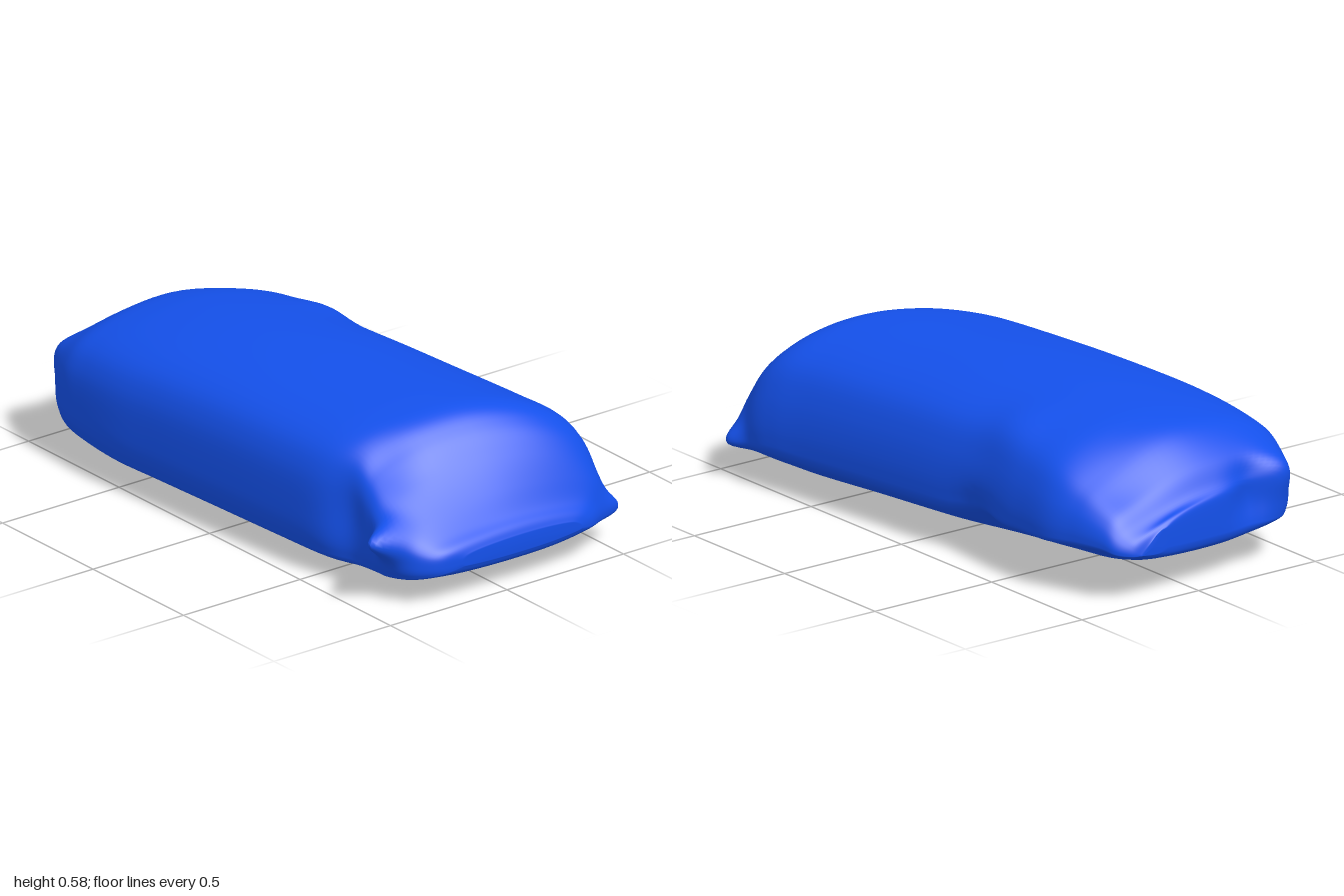
import * as THREE from 'three';

// Stations along the length: x, back z, front z, bottom y, top y
const STATIONS = [
  [-1, -0.24, -0.14, 0.17, 0.23], [-0.985, -0.28, 0.02, 0.15, 0.28], [-0.95, -0.32, 0.36, 0.13, 0.335],
  [-0.9, -0.345, 0.46, 0.11, 0.42], [-0.8, -0.385, 0.515, 0.07, 0.505], [-0.68, -0.42, 0.53, 0.045, 0.54],
  [-0.5, -0.415, 0.535, 0.03, 0.56], [-0.3, -0.41, 0.52, 0.024, 0.573], [0, -0.435, 0.495, 0.016, 0.58],
  [0.3, -0.465, 0.47, 0.009, 0.577], [0.55, -0.495, 0.445, 0.003, 0.572], [0.68, -0.515, 0.415, 0.01, 0.558],
  [0.76, -0.523, 0.405, 0.022, 0.505], [0.83, -0.515, 0.4, 0.038, 0.42], [0.9, -0.5, 0.37, 0.06, 0.325],
  [0.95, -0.44, 0.33, 0.085, 0.255], [0.985, -0.38, 0.27, 0.105, 0.22], [1, -0.32, 0.18, 0.13, 0.19],
];

// Cross-section: u runs back (-1) to front (1), v runs bottom (0) to top (1)
const PROFILE = [
  [1, 0.38], [0.97, 0.65], [0.83, 0.83], [0.5, 0.945], [0, 1], [-0.45, 0.95], [-0.8, 0.81], [-0.95, 0.6],
  [-1, 0.34], [-0.93, 0.19], [-0.5, 0.035], [0, 0], [0.5, 0.03], [0.9, 0.12], [0.98, 0.2],
];

// Soft pulls that form the pinched corners and dents: centre, offset, radius per axis
const PULLS = [
  [[0.86, 0.24, 0.39], [0.02, 0.02, 0.12], [0.05, 0.06, 0.06]],  // front right ear
  [[0.9, 0.14, -0.5], [0.01, 0, -0.045], [0.05, 0.05, 0.06]],    // back right ear
  [[-0.93, 0.33, 0.39], [-0.02, 0.01, 0.02], [0.06, 0.08, 0.07]], // front left knob
  [[-0.94, 0.27, 0.26], [0.04, 0, 0], [0.07, 0.1, 0.07]],        // dent beside the knob
  [[0.64, 0.28, 0.42], [-0.01, 0, -0.03], [0.09, 0.16, 0.1]],    // dent beside the front ear
  [[0.72, 0.48, 0.32], [-0.02, -0.02, 0], [0.1, 0.12, 0.12]],    // lower front of the right crest
  [[-0.28, 0.14, -0.4], [0, 0.02, 0.03], [0.1, 0.1, 0.12]],      // dent low on the back
  [[-0.38, 0.5, -0.33], [0, 0.02, -0.01], [0.12, 0.14, 0.14]],   // raised shoulder at the back
  [[-0.84, 0.45, -0.25], [0, -0.055, 0], [0.16, 0.16, 0.2]],     // sloping back left corner
  [[-0.65, 0.06, -0.33], [0, 0.07, 0], [0.3, 0.12, 0.14]],       // raised underside of the back left corner
];

function createBagGeometry(rings = 120, sides = 96) {
  const { smoothstep } = THREE.MathUtils;
  const curve = (list, closed) => new THREE.CatmullRomCurve3(list, closed, 'catmullrom', 0.5);
  const widths = curve(STATIONS.map(([x, b, f]) => new THREE.Vector3(x, b, f)), false);
  const heights = curve(STATIONS.map(([x, , , lo, hi]) => new THREE.Vector3(x, lo, hi)), false);
  const profile = curve(PROFILE.map(([u, v]) => new THREE.Vector3(u, v, 0)), true);
  const positions = [], index = [];

  const add = (x, y, z) => {
    const p = [x, y, z];
    for (const [c, d, r] of PULLS) {
      const q = c.reduce((s, ci, k) => s + ((p[k] - ci) / r[k]) ** 2, 0);
      d.forEach((dk, k) => { p[k] += dk * Math.exp(-q); });
    }
    positions.push(...p);
  };

  for (let i = 0; i <= rings; i++) {
    const { x, y: back, z: front } = widths.getPoint(i / rings);
    const { y: low, z: high } = heights.getPoint(i / rings);
    // The top of the left end rises toward the front; the right crest runs diagonally
    const tilt = 0.05 * smoothstep(-x, 0.8, 1);
    const slant = 0.2 * smoothstep(x, 0.3, 0.75) * (1 - smoothstep(x, 0.78, 1));
    for (let j = 0; j < sides; j++) {
      const { x: u, y: v } = profile.getPoint(j / sides);
      const z = (back + front) / 2 + (front - back) / 2 * u;
      add(x - slant * z * v * v, low + (high - low) * v + tilt * u * v, z);
    }
  }
  for (let i = 0; i < rings; i++) {
    for (let j = 0; j < sides; j++) {
      const k = (j + 1) % sides;
      const a = i * sides + j, b = a + sides, c = i * sides + k, d = c + sides;
      index.push(a, b, c, b, d, c);
    }
  }
  // End caps
  add(-1, 0.2, -0.19);
  add(1, 0.16, -0.07);
  const start = (rings + 1) * sides, last = rings * sides;
  for (let j = 0; j < sides; j++) {
    const k = (j + 1) % sides;
    index.push(start, j, k, start + 1, last + k, last + j);
  }

  const geometry = new THREE.BufferGeometry();
  geometry.setAttribute('position', new THREE.Float32BufferAttribute(positions, 3));
  geometry.setIndex(index);
  geometry.computeVertexNormals();
  return geometry;
}

export function createModel() {
  const group = new THREE.Group();
  group.name = 'stuffedBag';
  const bag = new THREE.Mesh(createBagGeometry(), new THREE.MeshStandardMaterial({ color: 0x1450ea }));
  bag.name = 'bagBody';
  group.add(bag);
  return group;
}
